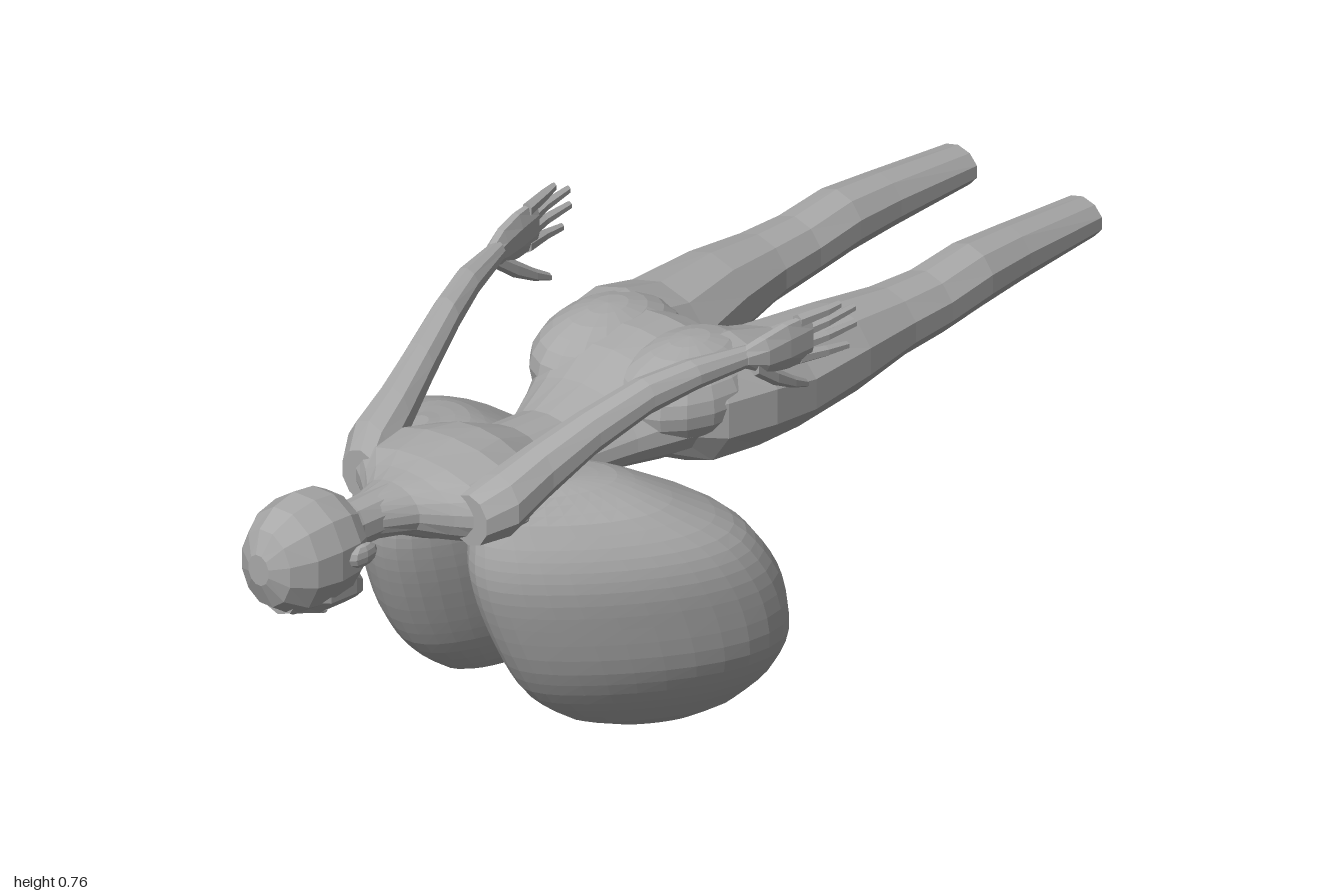
import * as THREE from 'three';

const grey = new THREE.MeshStandardMaterial({ color: 0xa8a8a8 });
grey.name = 'plain grey';

// Split the corners so that every face is shaded flat
function flat(geo) {
  const g = geo.index ? geo.toNonIndexed() : geo;
  g.computeVertexNormals();
  return g;
}

// Closed tube through rings [x, y, z, rx, ry], listed from +z to -z.
// egg widens the upper half of each ring and pushes it outwards.
function loft(rings, sides, side = 1, egg = 0) {
  const pos = [], idx = [];
  for (const [x, y, z, rx, ry] of rings) {
    for (let j = 0; j < sides; j++) {
      const a = ((j + 0.5) / sides) * Math.PI * 2, c = Math.cos(a), s = Math.sin(a);
      pos.push(x * side + rx * (c * (1 + egg * s) + side * egg * s), y + ry * s, z);
    }
  }
  const first = rings[0], last = rings[rings.length - 1];
  const c0 = rings.length * sides, c1 = c0 + 1, end = c0 - sides;
  pos.push(first[0] * side, first[1], first[2], last[0] * side, last[1], last[2]);
  for (let j = 0; j < sides; j++) {
    const k = (j + 1) % sides;
    for (let i = 0; i < rings.length - 1; i++) {
      const a = i * sides + j, b = i * sides + k;
      idx.push(a, a + sides, b, b, a + sides, b + sides);
    }
    idx.push(c0, j, k, c1, end + k, end + j);
  }
  const g = new THREE.BufferGeometry();
  g.setAttribute('position', new THREE.Float32BufferAttribute(pos, 3));
  g.setIndex(idx);
  return flat(g);
}

function ellipsoid(rx, ry, rz, w, h) {
  return flat(new THREE.SphereGeometry(1, w, h).scale(rx, ry, rz));
}

// Level slices [y, centre x, centre z, rx, rz] smoothed into a rounded form
function roundedForm(slices, side) {
  const centres = new THREE.CatmullRomCurve3(slices.map(([y, x, z]) => new THREE.Vector3(x, y, z)));
  const radii = new THREE.SplineCurve(slices.map((s) => new THREE.Vector2(s[3], s[4])));
  const rings = [];
  for (let i = 0; i <= 30; i++) {
    const c = centres.getPoint(i / 30), r = radii.getPoint(i / 30);
    rings.push([c.x, -c.z, c.y, r.x, r.y]);
  }
  return loft(rings, 32, side, 0.33).rotateX(-Math.PI / 2);
}

const BREAST = [
  [0.558, 0.16, 0.41, 0.015, 0.03], [0.54, 0.16, 0.385, 0.06, 0.105],
  [0.5, 0.155, 0.365, 0.135, 0.165], [0.44, 0.178, 0.325, 0.178, 0.225],
  [0.38, 0.19, 0.3, 0.195, 0.252], [0.3, 0.197, 0.267, 0.197, 0.262],
  [0.2, 0.202, 0.235, 0.185, 0.25], [0.12, 0.194, 0.21, 0.155, 0.22],
  [0.05, 0.185, 0.185, 0.105, 0.155], [0.015, 0.187, 0.167, 0.055, 0.085],
  [0.003, 0.195, 0.165, 0.018, 0.03],
];

export function createModel() {
  const model = new THREE.Group();
  model.name = 'proneFigure';
  const add = (name, geo, parent = model) => {
    const m = new THREE.Mesh(geo, grey);
    m.name = name;
    parent.add(m);
    return m;
  };

  // Torso, shoulders to hips
  add('torso', loft([
    [0, 0.54, 0.72, 0.038, 0.042], [0, 0.535, 0.65, 0.068, 0.05],
    [0, 0.53, 0.61, 0.115, 0.062], [0, 0.53, 0.57, 0.172, 0.073],
    [0, 0.525, 0.49, 0.185, 0.088], [0, 0.515, 0.42, 0.145, 0.092],
    [0, 0.5, 0.33, 0.1, 0.072], [0, 0.5, 0.24, 0.095, 0.066],
    [0, 0.515, 0.15, 0.135, 0.078], [0, 0.53, 0.07, 0.178, 0.1],
    [0, 0.538, 0, 0.21, 0.108], [0, 0.54, -0.07, 0.225, 0.105],
    [0, 0.535, -0.12, 0.16, 0.09], [0, 0.535, -0.145, 0.05, 0.05],
  ], 18));
  add('neck', loft([
    [0, 0.54, 0.85, 0.045, 0.05], [0, 0.54, 0.76, 0.038, 0.045], [0, 0.54, 0.66, 0.045, 0.045],
  ], 10));

  // Head, crown pointing forwards and face turned down
  const head = new THREE.Group();
  head.name = 'head';
  model.add(head);
  add('skull', loft([
    [0, 0.54, 1, 0.025, 0.03], [0, 0.537, 0.98, 0.06, 0.075],
    [0, 0.535, 0.935, 0.087, 0.103], [0, 0.535, 0.88, 0.097, 0.112],
    [0, 0.535, 0.83, 0.094, 0.105], [0, 0.535, 0.8, 0.08, 0.088],
  ], 12), head);
  add('jaw', loft([
    [0, 0.49, 0.95, 0.05, 0.055], [0, 0.475, 0.89, 0.078, 0.055],
    [0, 0.468, 0.82, 0.075, 0.052], [0, 0.443, 0.775, 0.048, 0.036],
    [0, 0.43, 0.75, 0.02, 0.016],
  ], 10), head);
  add('nose', loft([
    [0, 0.43, 0.88, 0.008, 0.01], [0, 0.419, 0.83, 0.015, 0.016], [0, 0.428, 0.815, 0.01, 0.008],
  ], 6), head);
  add('lips', ellipsoid(0.024, 0.01, 0.012, 8, 5), head).position.set(0, 0.418, 0.79);

  for (const [label, s] of [['left', 1], ['right', -1]]) {
    const ear = add(label + 'Ear', ellipsoid(0.012, 0.022, 0.036, 8, 6), head);
    ear.position.set(s * 0.096, 0.54, 0.83);
    add(label + 'Eye', ellipsoid(0.017, 0.01, 0.011, 8, 6), head).position.set(s * 0.034, 0.432, 0.875);

    // Large rounded chest form, slanting down and back
    add(label + 'Breast', roundedForm(BREAST, s));

    // Seat and leg, ending at a cut ankle
    add(label + 'Buttock', ellipsoid(0.118, 0.095, 0.165, 18, 12)).position.set(s * 0.098, 0.56, -0.025);
    add(label + 'Leg', loft([
      [0.1, 0.54, 0.08, 0.06, 0.08], [0.112, 0.535, 0, 0.108, 0.112],
      [0.124, 0.535, -0.1, 0.122, 0.112], [0.131, 0.523, -0.2, 0.116, 0.096],
      [0.148, 0.53, -0.35, 0.092, 0.085], [0.155, 0.535, -0.48, 0.073, 0.065],
      [0.158, 0.537, -0.58, 0.066, 0.06], [0.158, 0.55, -0.69, 0.063, 0.06],
      [0.155, 0.55, -0.8, 0.055, 0.053], [0.15, 0.547, -1, 0.048, 0.038],
    ], 10, s));

    // Arm swept back and outwards
    const arm = new THREE.Group();
    arm.name = label + 'Arm';
    model.add(arm);
    add('upperAndLowerArm', loft([
      [0.13, 0.53, 0.59, 0.045, 0.05], [0.155, 0.55, 0.54, 0.052, 0.062],
      [0.172, 0.59, 0.46, 0.044, 0.054], [0.2, 0.64, 0.36, 0.037, 0.043],
      [0.235, 0.685, 0.25, 0.032, 0.036], [0.267, 0.705, 0.16, 0.029, 0.029],
      [0.302, 0.712, 0.04, 0.018, 0.02],
    ], 10, s), arm);
    add('palm', loft([
      [0.301, 0.711, 0.06, 0.016, 0.018], [0.314, 0.708, 0.02, 0.019, 0.037],
      [0.322, 0.71, -0.03, 0.017, 0.046], [0.329, 0.712, -0.085, 0.012, 0.047],
    ], 8, s), arm);
    [[0.748, 0.755, -0.15], [0.724, 0.735, -0.187], [0.7, 0.703, -0.19], [0.677, 0.667, -0.17]]
      .forEach(([y0, y1, z], i) => add('finger' + (i + 1), loft([
        [0.324, y0, -0.06, 0.012, 0.014], [0.337, (y0 + y1) / 2, -0.12, 0.01, 0.011],
        [0.342, y1, z, 0.007, 0.008],
      ], 6, s), arm));
    add('thumb', loft([
      [0.312, 0.69, 0.04, 0.013, 0.016], [0.312, 0.655, -0.01, 0.015, 0.018],
      [0.31, 0.625, -0.06, 0.013, 0.013], [0.308, 0.606, -0.1, 0.008, 0.008],
    ], 6, s), arm);
  }
  return model;
}
